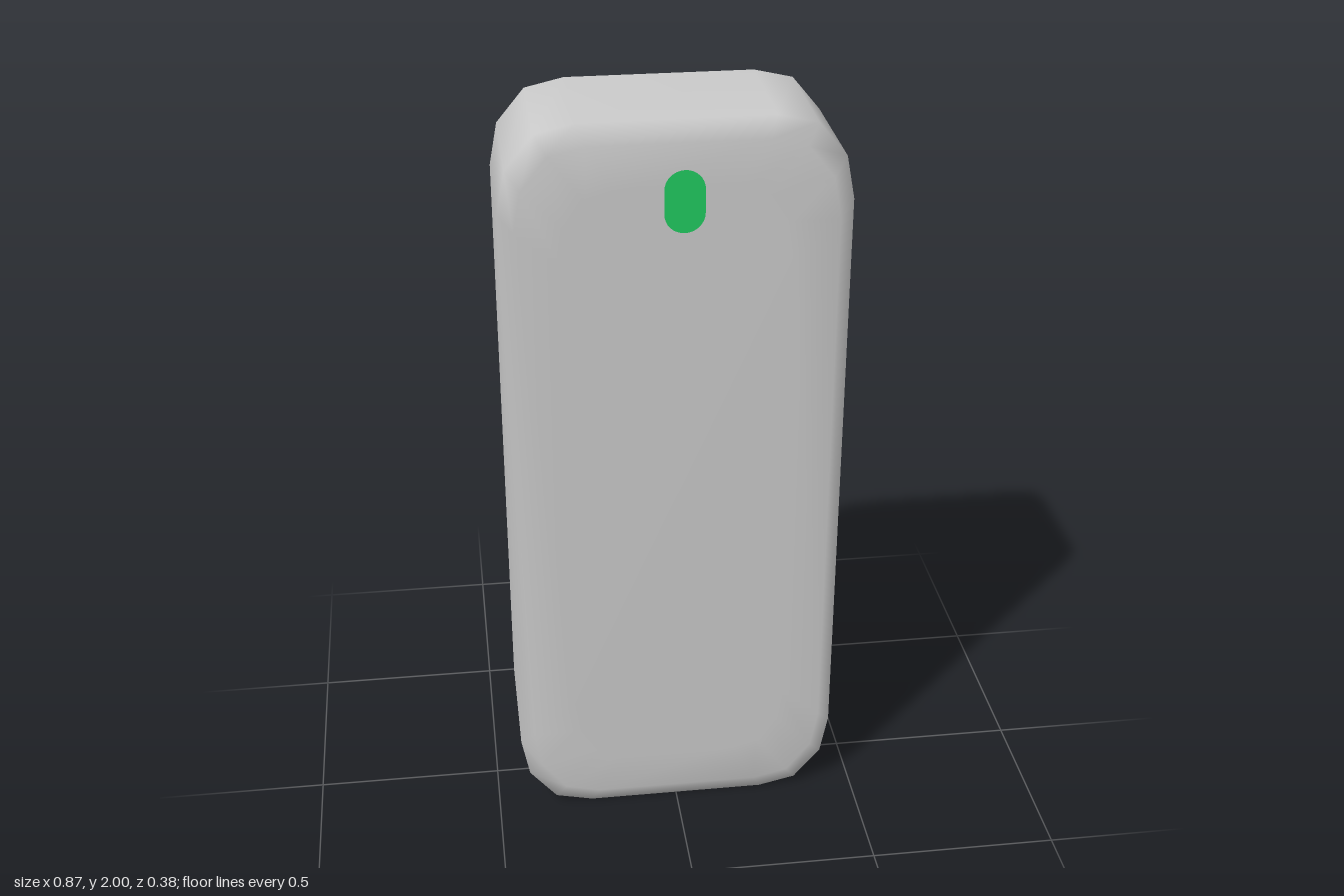
import * as THREE from 'three';

const HALF_W = 0.433, HALF_H = 1, BACK = -0.188, FRONT = 0.186;

// One rounded corner, from its side point to its top point
const CORNER = [[0.433, 0.78], [0.412, 0.89], [0.34, 0.977], [0.24, 1]];

// Full outline, anticlockwise seen from the front
function outline() {
  const pts = [];
  for (const [sx, sy] of [[1, 1], [-1, 1], [-1, -1], [1, -1]]) {
    const corner = CORNER.map(([x, y]) => [x * sx, y * sy]);
    pts.push(...(sx * sy > 0 ? corner : corner.reverse()));
  }
  return pts;
}

// Shell from cross-sections: straight walls, front bevel and softly shaded face
function shellGeometry() {
  const base = outline(), n = base.length;
  const position = [], index = [];
  const addRing = (z, inX, inY) => {
    const start = position.length / 3;
    const kx = 1 - inX / HALF_W, ky = 1 - inY / HALF_H;
    for (const [x, y] of base) position.push(x * kx, y * ky + HALF_H, z);
    return start;
  };
  const addCap = (ring, z, flip) => {
    const c = position.length / 3;
    position.push(0, HALF_H, z);
    for (let i = 0; i < n; i++) {
      const a = ring + i, b = ring + (i + 1) % n;
      index.push(c, flip ? b : a, flip ? a : b);
    }
  };
  const rings = [
    addRing(BACK, 0, 0),
    addRing(0.16, 0, 0),
    addRing(FRONT, 0.036, 0.05),
    addRing(FRONT, 0.15, 0.17),
  ];
  for (let r = 0; r < rings.length - 1; r++) {
    for (let i = 0; i < n; i++) {
      const j = (i + 1) % n, a = rings[r], b = rings[r + 1];
      index.push(a + i, a + j, b + j, a + i, b + j, b + i);
    }
  }
  addCap(rings[3], FRONT, false);
  // Flat back with its own vertices, for a sharp rear edge
  addCap(addRing(BACK, 0, 0), BACK, true);

  const geometry = new THREE.BufferGeometry();
  geometry.setAttribute('position', new THREE.Float32BufferAttribute(position, 3));
  geometry.setIndex(index);
  geometry.computeVertexNormals();
  return geometry;
}

// Upright pill shape for the indicator light
function pillShape(halfWidth, halfHeight) {
  const shape = new THREE.Shape();
  const straight = halfHeight - halfWidth;
  shape.absarc(0, straight, halfWidth, 0, Math.PI, false);
  shape.absarc(0, -straight, halfWidth, Math.PI, Math.PI * 2, false);
  return shape;
}

export function createModel() {
  const casingGrey = new THREE.MeshStandardMaterial({ color: 0xc8c8c8 });
  casingGrey.name = 'casing grey';
  const lightGreen = new THREE.MeshStandardMaterial({ color: 0x20c75f });
  lightGreen.name = 'indicator green';

  const model = new THREE.Group();
  model.name = 'device';

  const casing = new THREE.Mesh(shellGeometry(), casingGrey);
  casing.name = 'casing';

  const light = new THREE.Mesh(new THREE.ShapeGeometry(pillShape(0.05, 0.08), 8), lightGreen);
  light.name = 'indicatorLight';
  light.position.set(0.015, 1.803, FRONT + 0.002);

  model.add(casing, light);
  return model;
}
